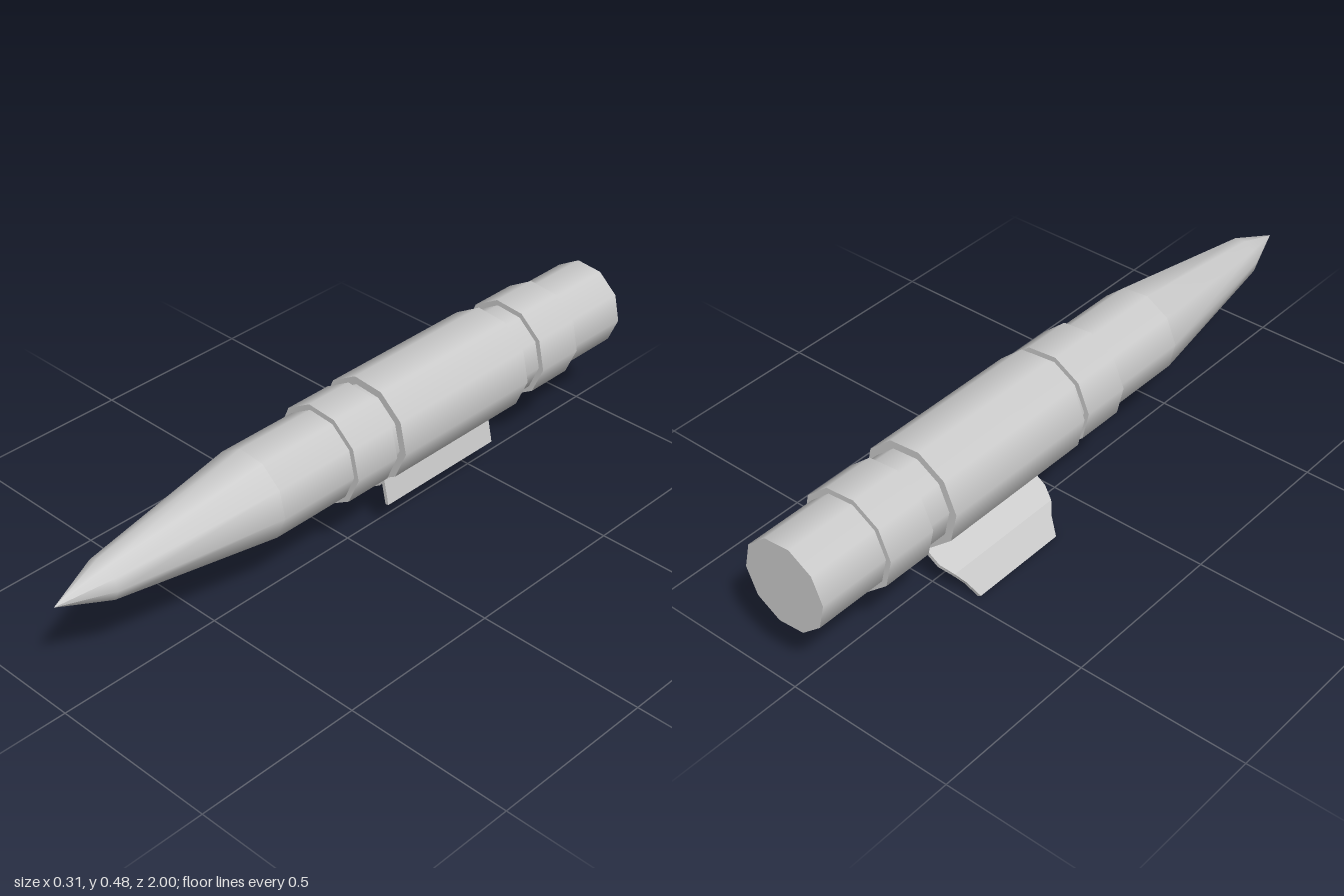
import * as THREE from 'three';

const SIDES = 10;
const TURN = THREE.MathUtils.degToRad(13);
const AXIS_Y = 0.333;
const material = new THREE.MeshStandardMaterial({ color: 0xcccccc });
const finMaterial = new THREE.MeshStandardMaterial({ color: 0xcccccc, flatShading: true });

// Closed ten-sided drum along z, from z0 (back) to z1 (front)
function drum(name, radius, z0, z1) {
  const geo = new THREE.CylinderGeometry(radius, radius, z1 - z0, SIDES, 1, false, TURN);
  geo.rotateX(Math.PI / 2);
  const mesh = new THREE.Mesh(geo, material);
  mesh.name = name;
  mesh.position.set(0, AXIS_Y, (z0 + z1) / 2);
  return mesh;
}

// Bent sheet: each section is [x, y, zBack, zFront], thickened in the xy plane
function bentSheet(name, sections, thickness) {
  const pts = sections.map(s => new THREE.Vector2(s[0], s[1]));
  const rings = sections.map(([x, y, zb, zf], i) => {
    const a = pts[Math.max(i - 1, 0)], b = pts[Math.min(i + 1, pts.length - 1)];
    const d = b.clone().sub(a).normalize();
    const nx = -d.y * thickness / 2, ny = d.x * thickness / 2;
    return [
      [x + nx, y + ny, zb], [x + nx, y + ny, zf],
      [x - nx, y - ny, zf], [x - nx, y - ny, zb],
    ];
  });
  const pos = [];
  const quad = (a, b, c, d) => pos.push(...a, ...b, ...c, ...a, ...c, ...d);
  for (let i = 0; i < rings.length - 1; i++) {
    const r = rings[i], s = rings[i + 1];
    for (let k = 0; k < 4; k++) {
      const n = (k + 1) % 4;
      quad(r[k], r[n], s[n], s[k]);
    }
  }
  const first = rings[0], last = rings[rings.length - 1];
  quad(first[3], first[2], first[1], first[0]);
  quad(last[0], last[1], last[2], last[3]);
  const geo = new THREE.BufferGeometry();
  geo.setAttribute('position', new THREE.Float32BufferAttribute(pos, 3));
  geo.computeVertexNormals();
  const mesh = new THREE.Mesh(geo, finMaterial);
  mesh.name = name;
  return mesh;
}

export function createModel() {
  const group = new THREE.Group();
  group.name = 'rocket';

  // Main tube with raised bands and the central sleeve
  group.add(
    drum('bodyTube', 0.131, -1, 0.36),
    drum('frontBand', 0.147, -0.037, 0.11),
    drum('sleeve', 0.154, -0.562, -0.063),
    drum('rearBand', 0.147, -0.788, -0.638),
  );

  // Tapered nose with a steeper tip
  const profile = [[0.131, 0.36], [0.058, 0.85], [0, 1]].map(p => new THREE.Vector2(...p));
  const noseGeo = new THREE.LatheGeometry(profile, SIDES, TURN);
  noseGeo.rotateX(Math.PI / 2);
  const nose = new THREE.Mesh(noseGeo, material);
  nose.name = 'nose';
  nose.position.y = AXIS_Y;
  group.add(nose);

  // Short plate hanging from the sleeve
  group.add(bentSheet('shortPlate', [
    [0.034, 0.186, -0.525, -0.105],
    [0.038, 0.168, -0.53, -0.098],
    [0.055, 0.09, -0.53, -0.098],
  ], 0.011));

  // Long bent blade that narrows toward its free end
  group.add(bentSheet('longBlade', [
    [0.04, 0.175, -0.525, -0.105],
    [0.018, 0.14, -0.525, -0.103],
    [-0.05, 0.098, -0.525, -0.105],
    [-0.085, 0.076, -0.508, -0.122],
    [-0.105, 0.046, -0.487, -0.145],
    [-0.135, 0.003, -0.467, -0.163],
  ], 0.012));

  return group;
}
